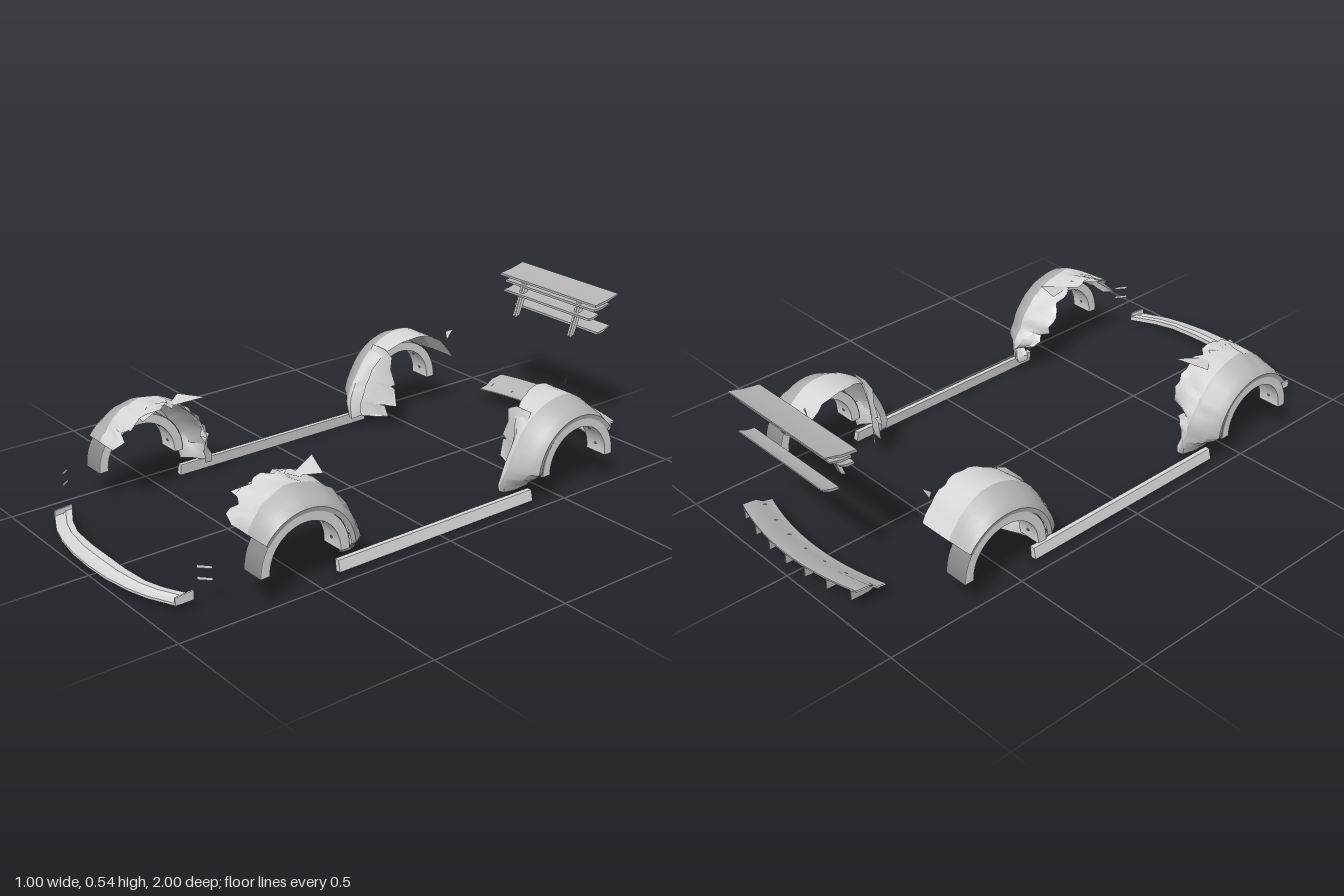
import * as THREE from 'three';
import { toCreasedNormals } from 'three/addons/utils/BufferGeometryUtils.js';

function paint(name, color) {
  const m = new THREE.MeshStandardMaterial({ color, side: THREE.DoubleSide });
  m.name = name;
  return m;
}
const light = paint('light grey', 0xd6d6d6);
const mid = paint('mid grey', 0xb4b4b4);
const dark = paint('dark grey', 0x8c8c8c);

let seed = 7;
const rand = () => (seed = (seed * 16807) % 2147483647) / 2147483647;

function add(parent, name, geometry, material = light, crease = 0.6) {
  const mesh = new THREE.Mesh(toCreasedNormals(geometry, crease), material);
  mesh.name = name;
  parent.add(mesh);
  return mesh;
}

// Surface through rows of [x, y, z] points
function sheet(rows) {
  const n = rows[0].length, index = [];
  for (let i = 0; i < rows.length - 1; i++) for (let j = 0; j < n - 1; j++) {
    const a = i * n + j, b = a + n;
    index.push(a, b, a + 1, b, b + 1, a + 1);
  }
  const g = new THREE.BufferGeometry();
  g.setAttribute('position', new THREE.Float32BufferAttribute(rows.flat(2), 3));
  g.setIndex(index);
  g.computeVertexNormals();
  return g;
}

// Side profile given as a shape in (-z, y), extruded from x0 to x1
function alongX(shape, x0, x1) {
  const g = new THREE.ExtrudeGeometry(shape, { depth: x1 - x0, bevelEnabled: false, curveSegments: 28 });
  return g.rotateY(Math.PI / 2).translate(x0, 0, 0);
}
const profile = pts => new THREE.Shape(pts.map(([z, y]) => new THREE.Vector2(-z, y)));

// Arched flare with a darker outer band and screws on its inner face
function wheelFlare(parent, side, zc) {
  const g = new THREE.Group();
  g.name = 'wheelFlare';
  const ring = new THREE.Shape();
  ring.absarc(0, 0, 0.159, -0.04, Math.PI + 0.04, false);
  ring.absarc(0, 0, 0.128, Math.PI + 0.04, -0.04, true);
  const x0 = side > 0 ? 0.415 : -0.497;
  add(g, 'flareArch', alongX(ring, x0, x0 + 0.082).translate(0, 0.112, zc));
  const band = [];
  for (let i = 0; i <= 36; i++) {
    const t = -0.04 + i * (Math.PI + 0.08) / 36;
    band.push([x0, x0 + 0.082].map(x => [x, 0.112 + 0.161 * Math.sin(t), zc + 0.161 * Math.cos(t)]));
  }
  add(g, 'flareBand', sheet(band), dark);
  for (let i = 0; i < 6; i++) {
    const t = 0.2 + i * 0.548;
    const screw = add(g, 'flareScrew', new THREE.CylinderGeometry(0.005, 0.005, 0.004, 8), dark);
    screw.position.set(side * 0.455, 0.112 + 0.127 * Math.sin(t), zc + 0.127 * Math.cos(t));
    screw.rotation.x = Math.PI / 2 - t;
  }
  parent.add(g);
}

// Fender skin and inner liner; end = +1 for front, -1 for rear
function fender(parent, side, zc, end, rough) {
  const skin = [], liner = [], N = 26;
  const mix = THREE.MathUtils.lerp, smooth = THREE.MathUtils.smoothstep;
  for (let i = 0; i <= N; i++) {
    const u = i / N, t = mix(0.62, 3.38, u);
    const low = smooth(u, 0.72, 1), foot = smooth(u, 0.88, 1);
    const rOut = 0.19 + 0.036 * smooth(u, 0, 0.35) + 0.03 * low + (rand() - 0.5) * rough * 0.2;
    const at = (r, x) => [side * x, Math.max(0.035, 0.105 + r * Math.sin(t)), zc + end * r * Math.cos(t)];
    const xLip = mix(0.502, 0.44, foot), xTop = mix(0.43, 0.41, foot);
    skin.push([at(0.163, xLip - 0.004), at(0.178, xLip), at(mix(0.178, rOut, 0.5), mix(xLip, xTop, 0.3)),
      at(rOut - 0.004, xTop), at(rOut, xTop - 0.015)]);
    // Inner rim narrows toward the bottom and is torn where rough
    const tear = (i % 3 === 0 ? 1 : 0.25) * rand() * rough;
    const xIn = mix(0.292, 0.375, end > 0 ? low : smooth(u, 0.3, 0.8)) + tear;
    const dip = 0.035 * smooth(u, 0.5, 0.85);
    const x0 = xTop - 0.015;
    liner.push([at(rOut, x0), at(rOut + (rand() - 0.6) * rough * 0.3, mix(x0, xIn, 0.4)),
      at(rOut - dip * 0.6 + (rand() - 0.6) * rough * 0.3, mix(x0, xIn, 0.75)),
      at(rOut - dip + (rand() - 0.5) * rough * 0.3, xIn)]);
  }
  const g = new THREE.Group();
  g.name = end > 0 ? 'frontFender' : 'rearFender';
  add(g, 'fenderSkin', sheet(skin), mid, 0.7);
  add(g, 'wheelLiner', sheet(liner), light, 0.9);
  parent.add(g);

  // Loose shards: over the front liner, and a small one at the rear
  const shards = end > 0
    ? [[[0.29, 0.332, 0.38], [0.4, 0.32, 0.42], [0.34, 0.31, 0.5]],
       [[0.28, 0.29, 0.67], [0.36, 0.27, 0.66], [0.34, 0.33, 0.57]],
       [[0.29, 0.305, 0.62], [0.4, 0.315, 0.6], [0.33, 0.333, 0.5]]]
    : [[[0.29, 0.33, -0.7], [0.31, 0.32, -0.68], [0.3, 0.29, -0.68]]];
  for (const s of shards) {
    const p = s.map(([x, y, z]) => [side * x, y, z]);
    add(g, 'linerShard', sheet([[p[0], p[1]], [p[2], p[2]]]));
  }
  // Torn wall curving inward behind the rear wheel opening: [height, inner edge]
  if (end < 0) {
    const edge = [[0.04, 0.38], [0.05, 0.31], [0.09, 0.325], [0.1, 0.272], [0.165, 0.283], [0.17, 0.3],
      [0.18, 0.28], [0.235, 0.305], [0.28, 0.3], [0.3, 0.34]];
    const wall = edge.map(([y, xi]) => [0, 0.25, 0.5, 0.75, 1].map(k => {
      const x = mix(xi, 0.41, k);
      return [side * x, y, -0.42 + 0.08 * ((x - 0.27) / 0.14) ** 2 * (1 - ((y - 0.04) / 0.26) ** 2)];
    }));
    add(g, 'linerWall', sheet(wall), light, 0.9);
  }
}

function splitter(parent) {
  const half = [[0, 1.0, 0.93], [0.1, 0.996, 0.93], [0.2, 0.98, 0.922], [0.27, 0.96, 0.9], [0.355, 0.92, 0.857]];
  const stations = [...half.slice(1).reverse().map(([x, o, i]) => [-x, o, i]), ...half];
  const rows = stations.map(([x, zo, zi]) => {
    const zm = (zo + zi) / 2;
    return [[zi, 0.03], [zo, 0.03], [zo, 0.038], [zm, 0.04], [zm - 0.008, 0.046], [zi, 0.046], [zi, 0.03]]
      .map(([z, y]) => [x, y, z]);
  });
  add(parent, 'frontSplitter', sheet(rows));
  for (const s of [-1, 1])
    add(parent, 'splitterEnd', alongX(profile([[0.857, 0.03], [0.92, 0.03], [0.92, 0.056], [0.857, 0.061]]),
      s * 0.356 - 0.003, s * 0.356 + 0.003));
}

function diffuser(parent) {
  const g = new THREE.Group();
  g.name = 'rearDiffuser';
  const bow = x => 0.045 * (x / 0.29) ** 2;
  const rows = [];
  for (let i = 0; i <= 16; i++) {
    const x = -0.29 + i * 0.03625, b = bow(x);
    rows.push([[-0.89, 0.06], [-0.925, 0.068], [-0.95, 0.086], [-1, 0.092], [-1, 0.086],
      [-0.95, 0.08], [-0.925, 0.061], [-0.89, 0.056], [-0.89, 0.06]].map(([z, y]) => [x, y, z + b]));
  }
  add(g, 'diffuserPlate', sheet(rows), mid);
  for (let i = -3; i <= 3; i++) {
    const x = i * 0.09, b = bow(x);
    add(g, 'diffuserFin', alongX(profile([[-0.9 + b, 0.058], [-0.94 + b, 0.048], [-1 + b, 0.05], [-1 + b, 0.088],
      [-0.95 + b, 0.082]]), x - 0.002, x + 0.002), mid);
  }
  parent.add(g);
}

function rearWing(parent) {
  const g = new THREE.Group();
  g.name = 'rearWing';
  // Half span, front edge z and y, rear edge z and y
  const blades = [[0.238, -0.88, 0.518, -0.99, 0.542], [0.222, -0.89, 0.495, -0.965, 0.508],
    [0.213, -0.875, 0.464, -0.925, 0.474], [0.208, -0.93, 0.4, -0.988, 0.418]];
  for (const [w, z0, y0, z1, y1] of blades) {
    const zm = (z0 + z1) / 2, ym = (y0 + y1) / 2;
    add(g, 'wingBlade', alongX(profile([[z0, y0 - 0.003], [zm, ym - 0.008], [z1, y1 - 0.002], [z1, y1 + 0.003],
      [zm, ym + 0.001], [z0, y0 + 0.005]]), -w, w), mid);
  }
  // Paired slanted stays
  for (const s of [-1, 1]) for (const d of [-0.006, 0.006]) {
    const x = s * 0.137 + d;
    add(g, 'wingStay', alongX(profile([[-0.862, 0.386], [-0.876, 0.392], [-0.925, 0.512], [-0.905, 0.515]]),
      x - 0.004, x + 0.004));
  }
  parent.add(g);
}

export function createModel() {
  seed = 7;
  const model = new THREE.Group();
  model.name = 'carBodyKit';
  for (const side of [1, -1]) {
    for (const end of [1, -1]) {
      wheelFlare(model, side, end * 0.558);
      fender(model, side, end * 0.555, end, end > 0 ? 0.05 : 0.008);
    }
    // Sill, leaning outward at the bottom
    const sill = [[0.434, 0.003], [0.454, 0.006], [0.445, 0.043], [0.429, 0.043], [0.434, 0.003]];
    add(model, 'sideSkirt', sheet([-0.4, 0.4].map(z => sill.map(([x, y]) => [side * x, y, z]))));
    for (const z of [-0.4, 0.4])
      add(model, 'skirtCap', sheet([[0, 1], [3, 2]].map(r => r.map(k => [side * sill[k][0], sill[k][1], z]))));
    // Small upright nose fins
    for (const y of [0.112, 0.15])
      add(model, 'noseFin', sheet([
        [[side * 0.392, y, 0.865], [side * 0.42, y - 0.003, 0.83]],
        [[side * 0.392, y + 0.01, 0.865], [side * 0.42, y + 0.006, 0.83]]]));
  }
  splitter(model);
  diffuser(model);
  rearWing(model);
  return model;
}
